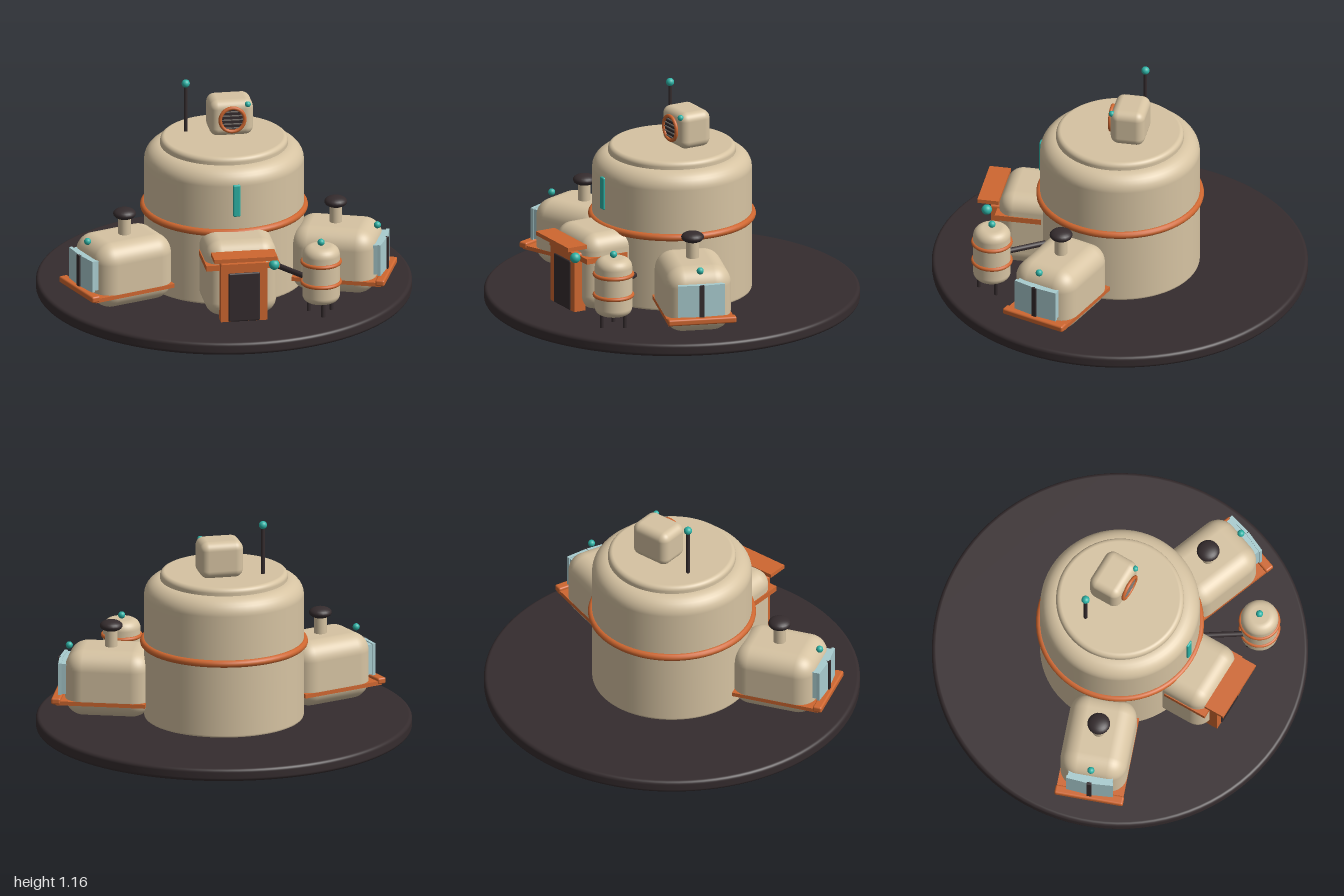
import * as THREE from 'three';
import { RoundedBoxGeometry } from 'three/addons/geometries/RoundedBoxGeometry.js';

const mat = (name, color) => {
  const m = new THREE.MeshStandardMaterial({ color });
  m.name = name;
  return m;
};

export function createModel() {
  const sand = mat('sand plaster', 0xd6c3a2);
  const orange = mat('orange trim', 0xcf6730);
  const dark = mat('dark metal', 0x352c2e);
  const teal = mat('teal light', 0x2db3a6);
  const glass = mat('pale glass', 0xa9cccf);
  const grey = mat('grille grey', 0x77716c);

  const root = new THREE.Group();
  root.name = 'outpost';

  const add = (parent, name, geo, material, x = 0, y = 0, z = 0) => {
    const mesh = new THREE.Mesh(geo, material);
    mesh.name = name;
    mesh.position.set(x, y, z);
    parent.add(mesh);
    return mesh;
  };
  const group = (name) => {
    const g = new THREE.Group();
    g.name = name;
    root.add(g);
    return g;
  };
  const box = (w, h, d) => new THREE.BoxGeometry(w, h, d);
  const soft = (w, h, d, r) => new RoundedBoxGeometry(w, h, d, 6, r);
  const rod = (r, h) => new THREE.CylinderGeometry(r, r, h, 20);
  const ball = (r) => new THREE.SphereGeometry(r, 20, 14);
  const ring = (r, tube) => new THREE.TorusGeometry(r, tube, 12, 64).rotateX(Math.PI / 2);

  // Solid of revolution with rounded bottom and top edges
  const drum = (r, y0, y1, rb, rt, seg = 72) => {
    const pts = [new THREE.Vector2(0, y0)];
    const n = 8;
    for (let i = 0; i <= n; i++) {
      const a = (i / n) * Math.PI / 2;
      pts.push(new THREE.Vector2(r - rb + rb * Math.sin(a), y0 + rb - rb * Math.cos(a)));
    }
    for (let i = 0; i <= n; i++) {
      const a = (i / n) * Math.PI / 2;
      pts.push(new THREE.Vector2(r - rt + rt * Math.cos(a), y1 - rt + rt * Math.sin(a)));
    }
    pts.push(new THREE.Vector2(0, y1));
    return new THREE.LatheGeometry(pts, seg);
  };

  // Ground disc
  add(root, 'basePlate', drum(1, 0, 0.07, 0.02, 0.02, 96), dark);

  // Main tower
  const tower = group('tower');
  add(tower, 'towerBody', drum(0.425, 0.06, 0.83, 0.02, 0.09), sand);
  add(tower, 'roofCap', drum(0.34, 0.8, 0.87, 0.01, 0.025), sand);
  add(tower, 'towerBelt', ring(0.427, 0.02), orange, 0, 0.48, 0);
  add(tower, 'slitWindow', soft(0.04, 0.18, 0.024, 0.008), teal, 0, 0.66, 0.423);

  // Antenna
  add(tower, 'antennaMast', rod(0.01, 0.27), dark, -0.19, 1.0, -0.1);
  add(tower, 'antennaTip', ball(0.022), teal, -0.19, 1.14, -0.1);

  // Rooftop vent unit
  const vent = group('roofVent');
  vent.position.set(0.04, 0.97, -0.065);
  add(vent, 'ventBox', soft(0.235, 0.2, 0.185, 0.045), sand);
  add(vent, 'ventRing', new THREE.TorusGeometry(0.066, 0.01, 12, 40), orange, 0, 0, 0.1);
  add(vent, 'ventDisc', rod(0.064, 0.012).rotateX(Math.PI / 2), dark, 0, 0, 0.093);
  for (let i = -2; i <= 2; i++) {
    const y = i * 0.023;
    add(vent, 'ventSlat', box(2 * Math.sqrt(0.06 ** 2 - y * y), 0.006, 0.008), grey, 0, y, 0.1);
  }
  add(vent, 'ventLight', ball(0.016), teal, 0.085, 0.078, 0.085);

  // Entrance
  const entry = group('entrance');
  add(entry, 'entryPod', soft(0.385, 0.42, 0.35, 0.085), sand, 0, 0.28, 0.455);
  add(entry, 'entryBelt', box(0.395, 0.03, 0.25), orange, 0, 0.365, 0.515);
  const frame = new THREE.Shape();
  frame.moveTo(-0.125, 0.065);
  frame.lineTo(-0.125, 0.38);
  frame.quadraticCurveTo(-0.125, 0.395, -0.11, 0.395);
  frame.lineTo(0.11, 0.395);
  frame.quadraticCurveTo(0.125, 0.395, 0.125, 0.38);
  frame.lineTo(0.125, 0.065);
  add(entry, 'doorFrame', new THREE.ExtrudeGeometry(frame, { depth: 0.07, bevelEnabled: false }),
    orange, 0, 0, 0.605);
  add(entry, 'door', soft(0.17, 0.275, 0.02, 0.009), dark, 0, 0.2075, 0.672);
  add(entry, 'awning', box(0.34, 0.022, 0.115), orange, 0, 0.44, 0.682);
  add(entry, 'doorLamp', ball(0.028), teal, 0.16, 0.387, 0.69);

  // Side pods, built along local +x and swung out to each side
  for (const side of [1, -1]) {
    const pod = group(side > 0 ? 'leftPod' : 'rightPod');
    const swing = THREE.MathUtils.degToRad(20);
    pod.rotation.y = side > 0 ? -swing : Math.PI + swing;
    add(pod, 'podBody', soft(0.46, 0.36, 0.36, 0.1), sand, 0.61, 0.247, 0);
    add(pod, 'podSkirt', box(0.48, 0.022, 0.36), orange, 0.64, 0.15, 0);
    add(pod, 'windowSill', soft(0.05, 0.035, 0.37, 0.01), orange, 0.878, 0.16, 0);
    // Bay window with two slightly angled panes
    add(pod, 'windowBack', box(0.06, 0.165, 0.24), glass, 0.835, 0.268, 0);
    for (const s of [1, -1]) {
      const pane = add(pod, 'windowPane', box(0.018, 0.175, 0.125), glass, 0.868, 0.268, s * 0.064);
      pane.rotation.y = -s * 0.08;
    }
    add(pod, 'windowPost', box(0.016, 0.175, 0.026), dark, 0.882, 0.268, 0);
    add(pod, 'podLight', ball(0.019), teal, 0.83, 0.422, 0);
    // Chimney
    add(pod, 'chimney', rod(0.034, 0.13), sand, 0.605, 0.47, 0);
    add(pod, 'chimneyCap', ball(0.061).scale(1, 0.5, 1), dark, 0.605, 0.54, 0);
  }

  // Storage tank on three legs
  const tank = group('storageTank');
  tank.position.set(0.425, 0, 0.61);
  add(tank, 'tankBody', drum(0.1, 0.135, 0.45, 0.04, 0.05, 40), sand);
  for (const y of [0.245, 0.36]) add(tank, 'tankHoop', ring(0.1, 0.011), orange, 0, y, 0);
  for (let i = 0; i < 3; i++) {
    const a = (i / 3) * Math.PI * 2;
    add(tank, 'tankLeg', rod(0.011, 0.12), dark, 0.07 * Math.sin(a), 0.12, 0.07 * Math.cos(a));
  }
  add(tank, 'tankLight', ball(0.019), teal, 0, 0.468, 0);

  // Pipe from tank to tower
  const path = new THREE.LineCurve3(new THREE.Vector3(0.21, 0.256, 0.34), new THREE.Vector3(0.38, 0.256, 0.6));
  add(root, 'feedPipe', new THREE.TubeGeometry(path, 1, 0.015, 14), dark);

  return root;
}
